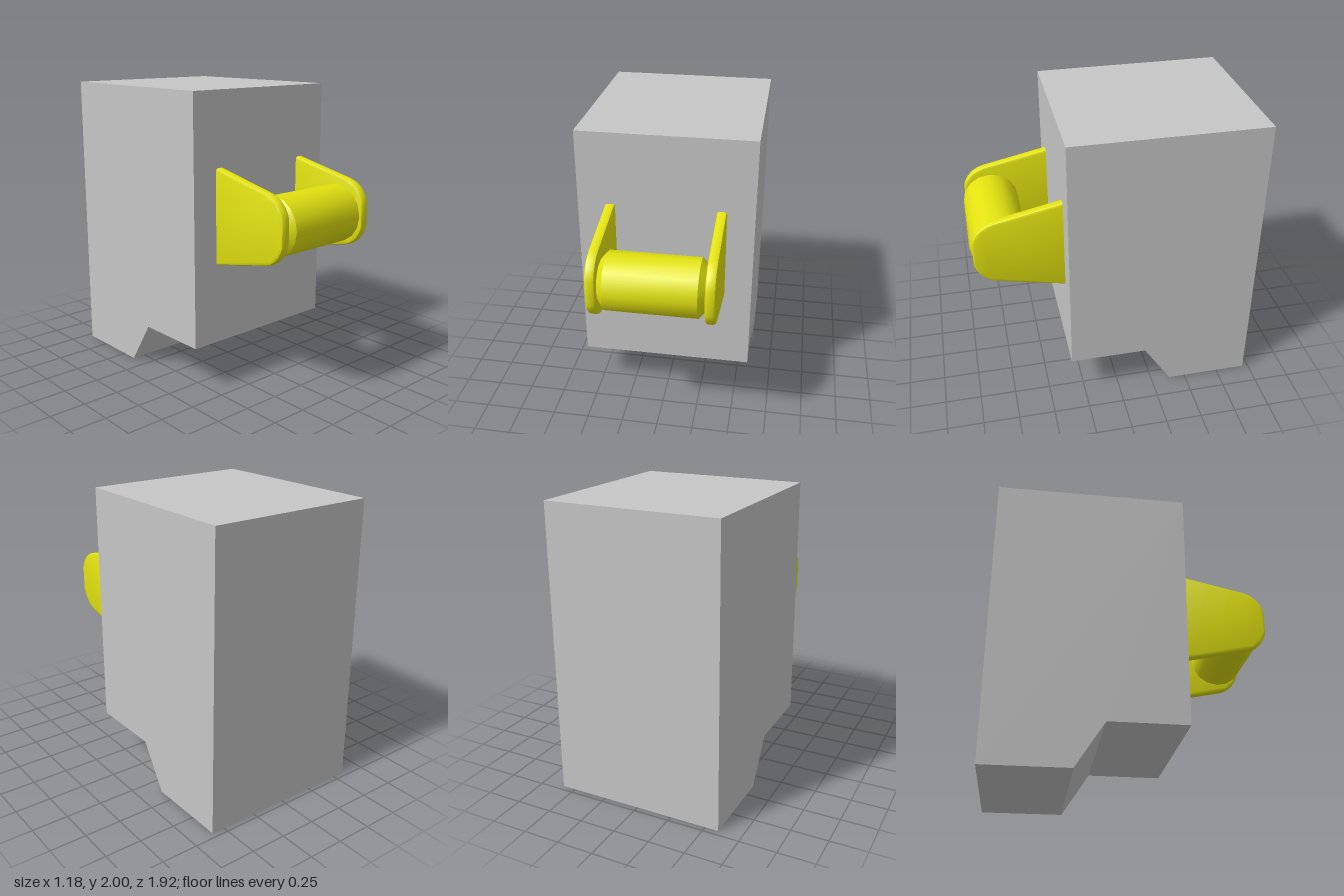
import * as THREE from 'three';
import { toCreasedNormals } from 'three/addons/utils/BufferGeometryUtils.js';

const grey = new THREE.MeshStandardMaterial({ name: 'cabinet grey', color: 0xc6c6c6 });
const yellow = new THREE.MeshStandardMaterial({ name: 'handle yellow', color: 0xe2e210 });

// Extrudes a side profile drawn in (z, y) across x, centred on x = 0.
function extrudeAcross(shape, width, bevel = 0) {
  const depth = width - 2 * bevel;
  const geometry = new THREE.ExtrudeGeometry(shape, {
    depth, curveSegments: 5,
    bevelEnabled: bevel > 0, bevelSize: bevel, bevelThickness: bevel,
    bevelOffset: -bevel, bevelSegments: 2,
  });
  geometry.translate(0, 0, -depth / 2);
  geometry.rotateY(-Math.PI / 2);
  return toCreasedNormals(geometry, 0.6);
}

function addMesh(parent, name, geometry, material) {
  const mesh = new THREE.Mesh(geometry, material);
  mesh.name = name;
  parent.add(mesh);
  return mesh;
}

export function createModel() {
  const model = new THREE.Group();
  model.name = 'cabinetWithHandle';

  // Tall block with a sloped toe recess under the front
  const side = new THREE.Shape([
    [-0.96, 0], [-0.385, 0], [-0.19, 0.305], [0.343, 0.305], [0.343, 2], [-0.96, 2],
  ].map(([z, y]) => new THREE.Vector2(z, y)));
  addMesh(model, 'body', extrudeAcross(side, 1.184), grey);

  const handle = new THREE.Group();
  handle.name = 'handle';
  model.add(handle);

  // Tapered side brackets with rounded noses
  const plate = new THREE.Shape();
  plate.moveTo(0.32, 0.845);
  plate.lineTo(0.80, 0.947);
  plate.bezierCurveTo(0.88, 0.965, 0.93, 1.03, 0.943, 1.09);
  plate.lineTo(0.943, 1.26);
  plate.bezierCurveTo(0.93, 1.32, 0.88, 1.385, 0.80, 1.403);
  plate.lineTo(0.32, 1.505);
  plate.closePath();
  const bracket = extrudeAcross(plate, 0.068, 0.018);
  for (const s of [-1, 1]) {
    addMesh(handle, s > 0 ? 'leftBracket' : 'rightBracket', bracket, yellow).position.x = s * 0.373;
  }

  // Grip bar with chamfered ends
  const profile = [[0, -0.345], [0.138, -0.345], [0.195, -0.297], [0.195, 0.297], [0.138, 0.345], [0, 0.345]]
    .map(([r, h]) => new THREE.Vector2(r, h));
  const bar = toCreasedNormals(new THREE.LatheGeometry(profile, 16), 0.6);
  bar.rotateZ(Math.PI / 2);
  addMesh(handle, 'gripBar', bar, yellow).position.set(0, 1.175, 0.764);

  return model;
}
